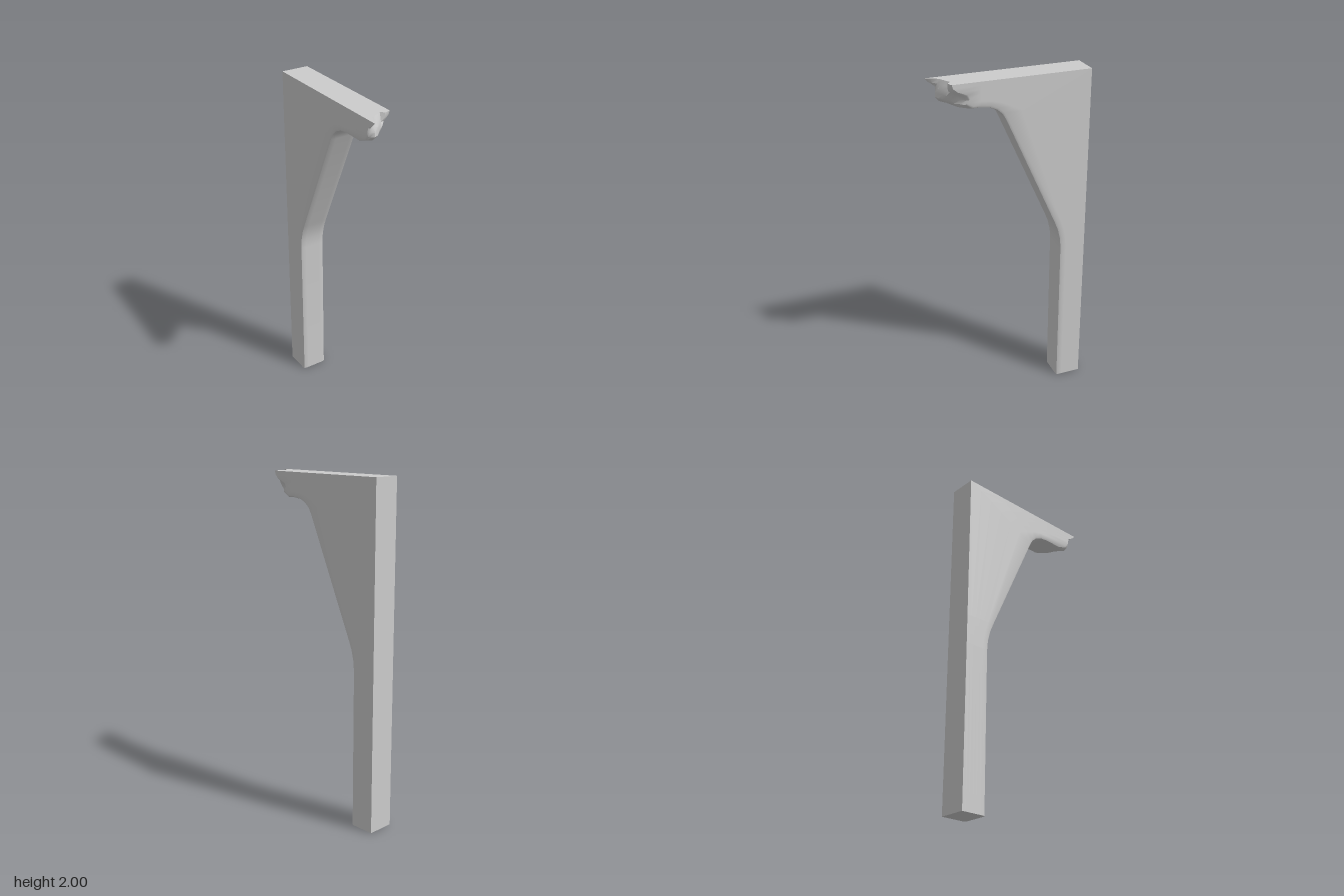
import * as THREE from 'three';
import { toCreasedNormals } from 'three/addons/utils/BufferGeometryUtils.js';

// Columns across the width, with the inset that rounds the two front edges
const XS = [-0.08, -0.0756, -0.065, -0.045, -0.02, 0.005, 0.025, 0.045, 0.065, 0.0756, 0.08];
const inset = x => {
  const t = Math.max(0, Math.abs(x) - 0.065);
  return 0.015 - Math.sqrt(Math.max(0, 0.015 ** 2 - t * t));
};
const ROWS = 6;

// Stations up the post and out along the arm: front z, front y, back z, back y
const STATIONS = [
  [-0.29, 0, -0.445, 0],
  [-0.29, 0.93, -0.445, 0.93],
  [-0.285, 0.99, -0.445, 0.99],
  [-0.27, 1.05, -0.445, 1.05],
  [-0.25, 1.1, -0.445, 1.1],
  [0.05, 1.77, -0.445, 2],
  [0.07, 1.805, -0.2, 2],
  [0.1, 1.832, -0.05, 2],
  [0.14, 1.85, 0.08, 2],
  [0.19, 1.857, 0.19, 2],
];

// Depth of the broken end: rows from top to bottom, columns at BREAK_X
const BREAK_X = [-0.08, -0.045, -0.01, 0.025, 0.05, 0.08];
const BREAK_Z = [
  [0.445, 0.375, 0.357, 0.337, 0.36, 0.345],
  [0.425, 0.385, 0.37, 0.345, 0.36, 0.34],
  [0.39, 0.39, 0.385, 0.35, 0.345, 0.315],
  [0.385, 0.4, 0.38, 0.36, 0.31, 0.26],
  [0.38, 0.4, 0.385, 0.34, 0.28, 0.25],
  [0.36, 0.38, 0.35, 0.32, 0.285, 0.27],
  [0.3, 0.315, 0.31, 0.29, 0.26, 0.23],
];
function breakZ(x, row) {
  let i = 0;
  while (i < BREAK_X.length - 2 && x > BREAK_X[i + 1]) i++;
  const t = (x - BREAK_X[i]) / (BREAK_X[i + 1] - BREAK_X[i]);
  return THREE.MathUtils.lerp(BREAK_Z[row][i], BREAK_Z[row][i + 1], t);
}

// Point of a section: u counts across, v runs from the back to the front edge
function sectionPoint(s, u, v) {
  const x = XS[u], t = v / ROWS;
  if (s === STATIONS.length) {
    return [x, 2 - t * (0.143 - inset(x)), breakZ(x, v)];
  }
  const [fz, fy, bz, by] = STATIONS[s];
  const a = STATIONS[Math.max(0, s - 1)];
  const b = STATIONS[Math.min(STATIONS.length - 1, s + 1)];
  const dir = new THREE.Vector2(b[0] - a[0], b[1] - a[1]).normalize();
  const z = fz - dir.y * inset(x);
  const y = fy + dir.x * inset(x);
  return [x, by + (y - by) * t, bz + (z - bz) * t];
}

function bracketGeometry() {
  const pos = [];
  const quad = (a, b, c, d) => pos.push(...a, ...b, ...c, ...a, ...c, ...d);
  const nu = XS.length - 1;

  // Outline of a section as (u, v) pairs
  const ring = [];
  for (let u = 0; u < nu; u++) ring.push([u, 0]);
  for (let v = 0; v < ROWS; v++) ring.push([nu, v]);
  for (let u = nu; u > 0; u--) ring.push([u, ROWS]);
  for (let v = ROWS; v > 0; v--) ring.push([0, v]);

  // Outer skin
  for (let s = 0; s < STATIONS.length; s++) {
    ring.forEach((p, k) => {
      const q = ring[(k + 1) % ring.length];
      quad(sectionPoint(s, ...p), sectionPoint(s + 1, ...p),
        sectionPoint(s + 1, ...q), sectionPoint(s, ...q));
    });
  }

  // Foot and broken end
  for (let u = 0; u < nu; u++) {
    for (let v = 0; v < ROWS; v++) {
      const cell = s => [[u, v], [u + 1, v], [u + 1, v + 1], [u, v + 1]].map(p => sectionPoint(s, ...p));
      quad(...cell(0));
      quad(...cell(STATIONS.length).reverse());
    }
  }

  const geo = new THREE.BufferGeometry();
  geo.setAttribute('position', new THREE.Float32BufferAttribute(pos, 3));
  return toCreasedNormals(geo, 0.6);
}

export function createModel() {
  const group = new THREE.Group();
  group.name = 'brokenBracketPost';
  const post = new THREE.Mesh(bracketGeometry(), new THREE.MeshStandardMaterial({ color: 0xcccccc }));
  post.name = 'postWithBrokenArm';
  group.add(post);
  return group;
}
